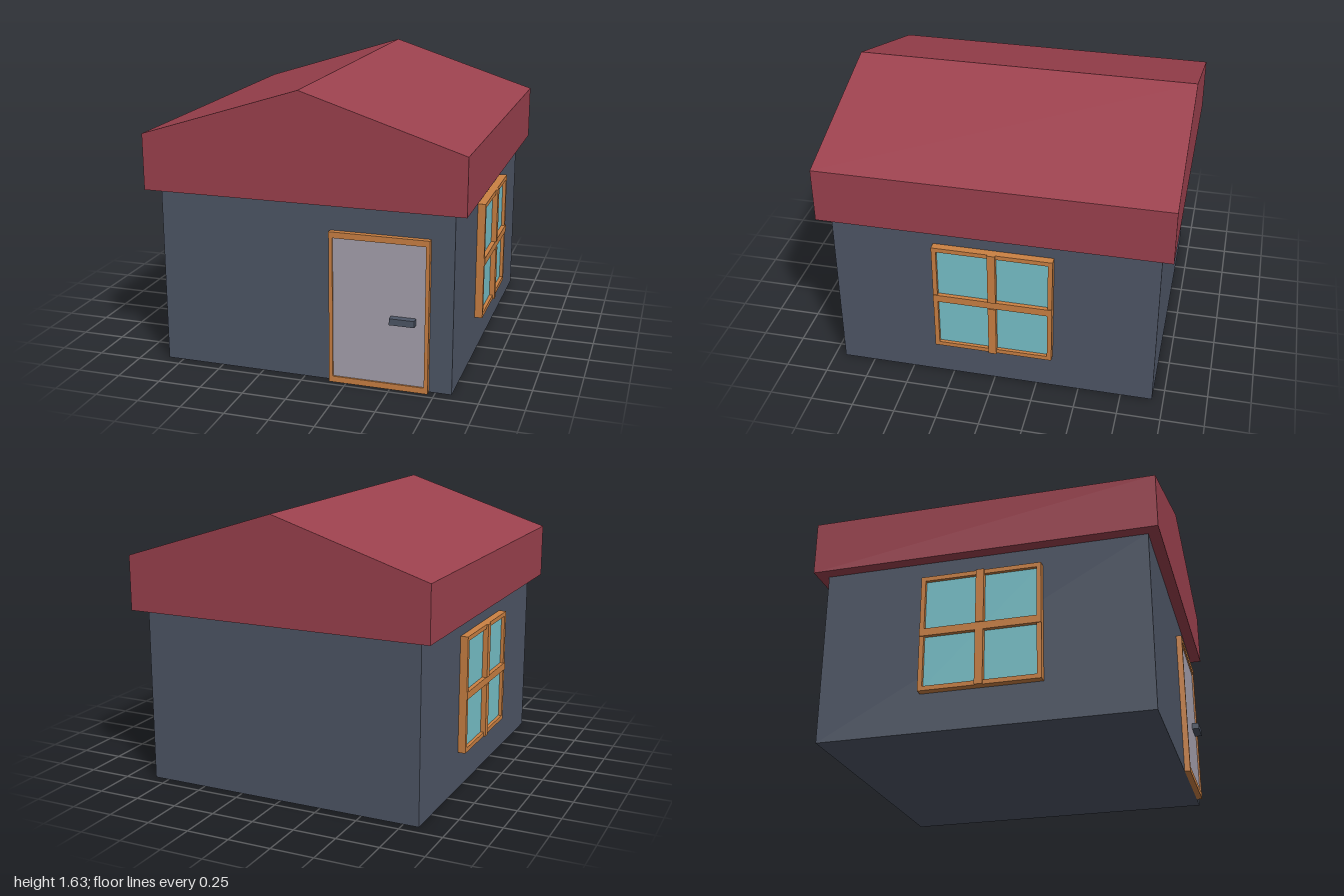
import * as THREE from 'three';

const mat = (name, color) => {
  const m = new THREE.MeshStandardMaterial({ color });
  m.name = name;
  return m;
};

export function createModel() {
  const slate = mat('slate', 0x4e5666);
  const red = mat('roofRed', 0x9c414e);
  const wood = mat('wood', 0xcb8143);
  const glass = mat('glass', 0x78c2ca);
  const grey = mat('doorGrey', 0xa7a1ae);
  const house = new THREE.Group();
  house.name = 'house';

  const add = (parent, name, geometry, material) => {
    const mesh = new THREE.Mesh(geometry, material);
    mesh.name = name;
    parent.add(mesh);
    return mesh;
  };
  // Box given by its limits on each axis
  const box = (parent, name, material, [x0, x1], [y0, y1], [z0, z1]) =>
    add(parent, name, new THREE.BoxGeometry(x1 - x0, y1 - y0, z1 - z0), material)
      .position.set((x0 + x1) / 2, (y0 + y1) / 2, (z0 + z1) / 2);
  // Rectangular frame standing on z = 0
  const frame = (parent, name, x0, x1, y0, y1, border, bottom, depth) => {
    const rect = (Type, a, b, c, d) => new Type([[a, c], [b, c], [b, d], [a, d]].map(p => new THREE.Vector2(...p)));
    const shape = rect(THREE.Shape, x0, x1, y0, y1);
    shape.holes.push(rect(THREE.Path, x0 + border, x1 - border, y0 + bottom, y1 - border));
    return add(parent, name, new THREE.ExtrudeGeometry(shape, { depth, bevelEnabled: false }), wood);
  };

  // Walls
  box(house, 'walls', slate, [-0.84, 0.84], [0, 1.03], [-0.935, 0.935]);

  // Gabled roof block
  const gable = new THREE.Shape([[-0.912, 1.025], [0.912, 1.025], [0.912, 1.345], [0, 1.635], [-0.912, 1.345]]
    .map(p => new THREE.Vector2(...p)));
  const roof = new THREE.ExtrudeGeometry(gable, { depth: 2, bevelEnabled: false });
  add(house, 'roof', roof.translate(0, 0, -1), red);

  // Door with frame and handle
  const door = new THREE.Group();
  door.name = 'door';
  door.position.z = 0.935;
  house.add(door);
  frame(door, 'doorFrame', 0.153, 0.713, 0, 0.872, 0.021, 0.034, 0.033);
  frame(door, 'doorLintel', 0.153, 0.713, 0, 0.872, 0.021, 0.034, 0.033).scale.z = 0.99;
  door.remove(door.children[1]);
  box(door, 'doorTopRail', wood, [0.17, 0.696], [0.838, 0.854], [0, 0.033]);
  box(door, 'doorPanel', grey, [0.172, 0.694], [0.032, 0.84], [-0.01, 0.023]);
  box(door, 'doorHandle', slate, [0.502, 0.642], [0.39, 0.427], [0.02, 0.065]);

  // One window on each side wall
  for (const side of [1, -1]) {
    const win = new THREE.Group();
    win.name = side > 0 ? 'leftWindow' : 'rightWindow';
    win.position.x = side * 0.84;
    win.rotation.y = side * Math.PI / 2;
    house.add(win);
    frame(win, 'windowFrame', -0.345, 0.345, 0.223, 0.913, 0.026, 0.026, 0.045);
    box(win, 'windowGlass', glass, [-0.32, 0.32], [0.248, 0.888], [-0.01, 0.025]);
    box(win, 'crossBar', wood, [-0.345, 0.345], [0.546, 0.59], [0, 0.05]);
    for (const [y0, y1] of [[0.223, 0.546], [0.59, 0.913]])
      box(win, 'uprightBar', wood, [-0.023, 0.023], [y0, y1], [0, 0.056]);
  }
  return house;
}
